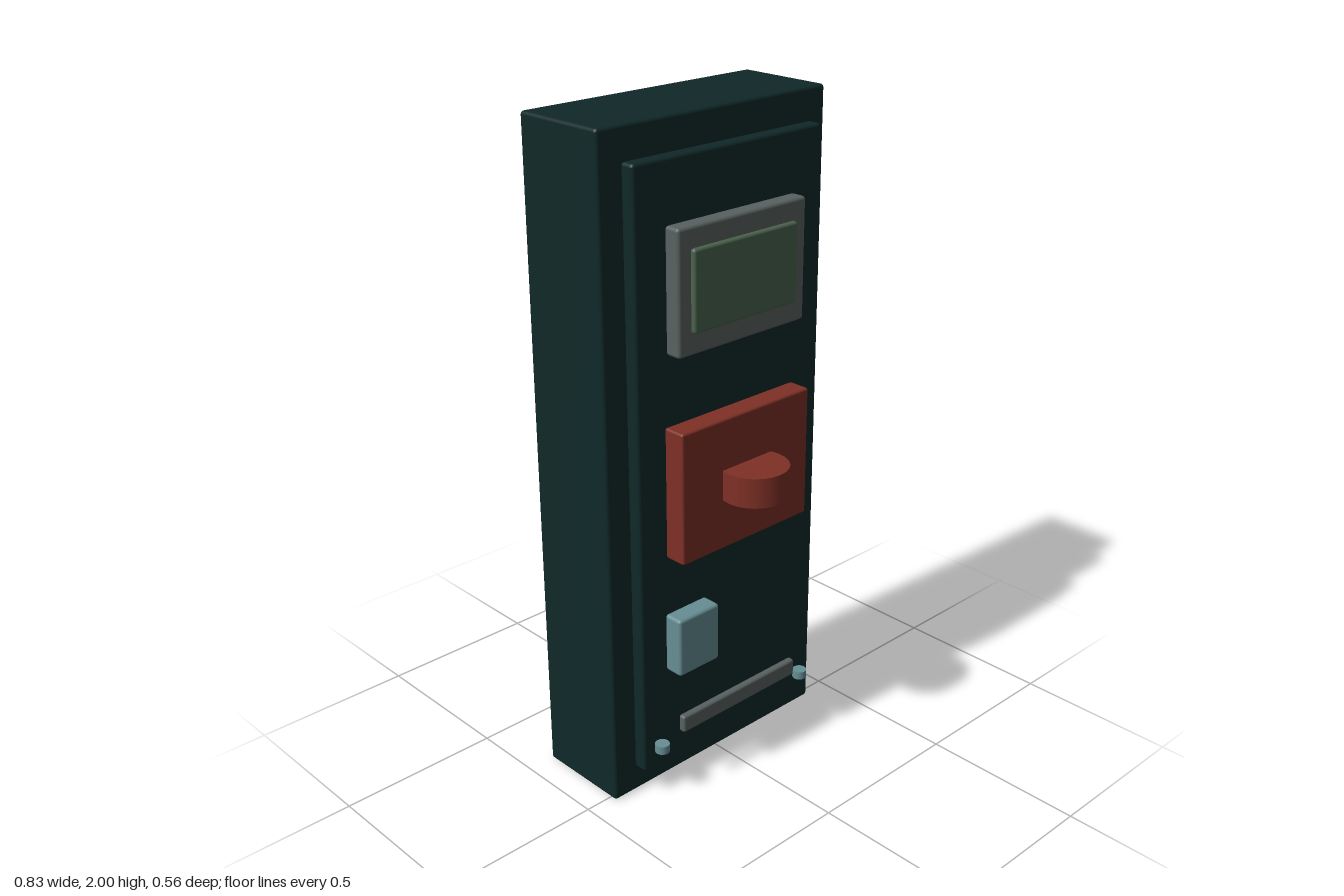
import * as THREE from 'three';
import { RoundedBoxGeometry } from 'three/addons/geometries/RoundedBoxGeometry.js';

const paint = (name, color) => {
  const m = new THREE.MeshStandardMaterial({ color });
  m.name = name;
  return m;
};

export function createModel() {
  const group = new THREE.Group();
  const dark = paint('dark teal', 0x102828);
  const grey = paint('grey', 0x586260);
  const green = paint('screen green', 0x4a624c);
  const red = paint('brick red', 0x7e3026);
  const blue = paint('pale blue', 0x668e94);

  const add = (name, geometry, material, x, y, z) => {
    const mesh = new THREE.Mesh(geometry, material);
    mesh.name = name;
    mesh.position.set(x, y, z);
    group.add(mesh);
  };
  // Bevelled box given by its limits on each axis
  const box = (name, material, [x0, x1], [y0, y1], [z0, z1], bevel) =>
    add(name, new RoundedBoxGeometry(x1 - x0, y1 - y0, z1 - z0, 2, bevel), material,
      (x0 + x1) / 2, (y0 + y1) / 2, (z0 + z1) / 2);

  // Cabinet and its raised front panel
  box('cabinet', dark, [-0.414, 0.414], [0, 2], [-0.28, 0.025], 0.01);
  box('frontPanel', dark, [-0.345, 0.345], [0.095, 1.91], [0.033, 0.079], 0.01);

  // Display
  box('displayFrame', grey, [-0.24, 0.237], [1.38, 1.735], [0.077, 0.13], 0.01);
  box('displayScreen', green, [-0.195, 0.192], [1.443, 1.675], [0.115, 0.144], 0.008);

  // Red plate with a round knob standing upright, half sunk in it
  box('redPlate', red, [-0.247, 0.247], [0.775, 1.173], [0.077, 0.148], 0.007);
  add('knob', new THREE.CylinderGeometry(0.1, 0.1, 0.09, 24), red, 0, 0.975, 0.178);

  // Lower fittings
  box('cardReader', blue, [-0.264, -0.109], [0.42, 0.604], [0.087, 0.15], 0.01);
  box('slotBar', grey, [-0.235, 0.232], [0.207, 0.262], [0.109, 0.133], 0.008);
  for (const x of [-0.294, 0.291])
    add('stud', new THREE.CylinderGeometry(0.022, 0.022, 0.026, 20), blue, x, 0.173, 0.102);

  return group;
}
